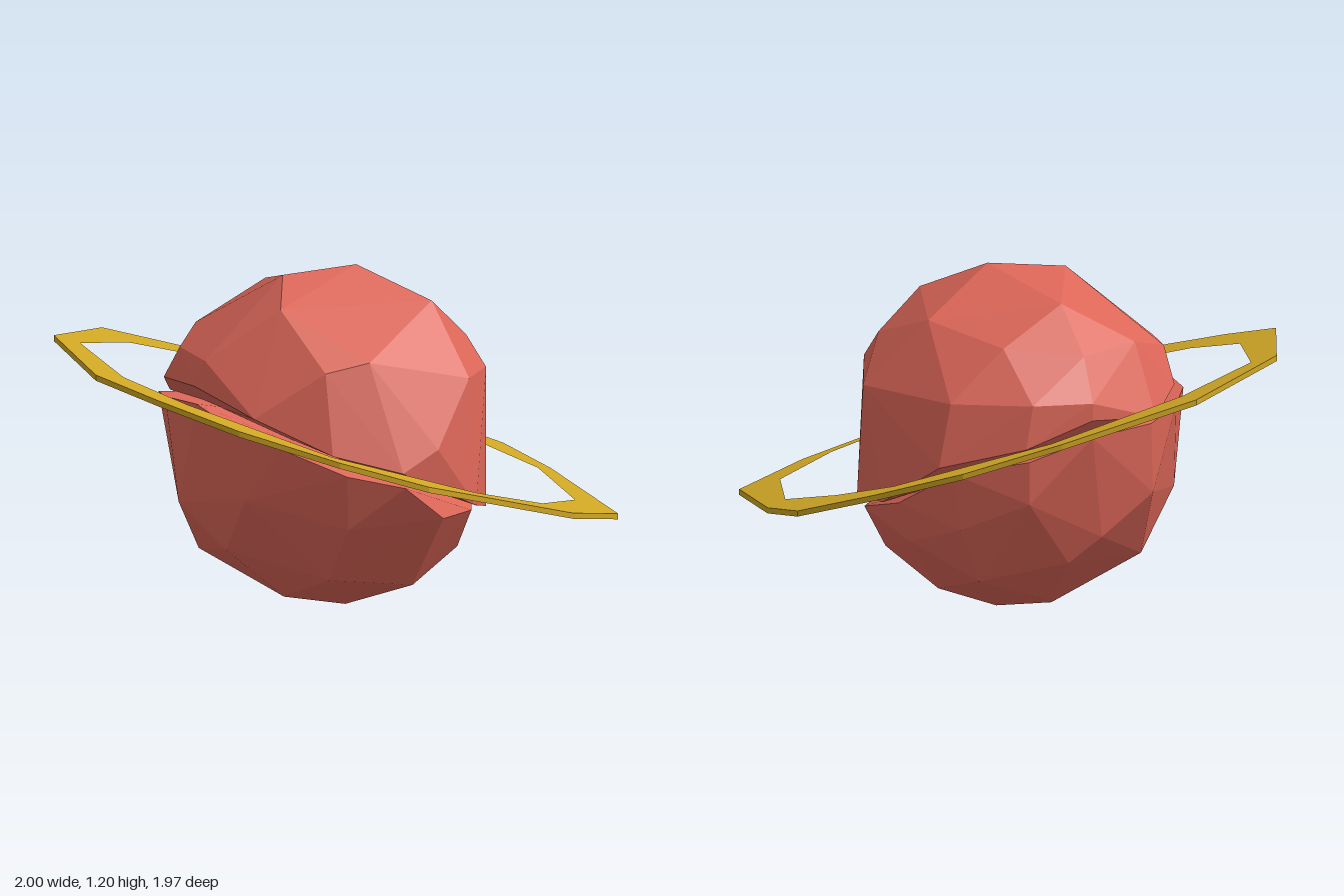
import * as THREE from 'three';
import { ConvexGeometry } from 'three/addons/geometries/ConvexGeometry.js';

const planetRed = new THREE.MeshStandardMaterial({ color: 0xdc6658, flatShading: true });
planetRed.name = 'planetRed';
const ringGold = new THREE.MeshStandardMaterial({ color: 0xcfa624, flatShading: true });
ringGold.name = 'ringGold';

// Faceted rock: convex shell around a few corner points
function rock(name, corners) {
  const mesh = new THREE.Mesh(new ConvexGeometry(corners.map((c) => new THREE.Vector3(...c))), planetRed);
  mesh.name = name;
  return mesh;
}

// Upper half, from crown down to its overhanging rim
const upperCorners = [
  [0.12, 1.2, -0.05], [0, 1.18, 0.2], [-0.29, 1.11, -0.04], [0, 1.05, -0.4],
  [0.39, 1.09, -0.14], [0.39, 0.95, -0.32], [0.13, 1.09, 0.36], [-0.41, 0.97, 0.19],
  [-0.46, 0.95, -0.07], [-0.3, 0.92, 0.4], [-0.07, 0.91, 0.53], [0.39, 0.9, 0.42],
  [0.47, 0.93, 0.28], [0.58, 0.84, -0.12], [0.5, 0.85, -0.3], [0.15, 0.82, -0.57],
  [-0.26, 0.8, -0.5], [-0.3, 0.98, -0.3], [-0.47, 0.8, -0.3], [-0.55, 0.8, -0.1],
  [0.63, 0.62, 0.1], [0.63, 0.4, -0.1], [0.6, 0.55, 0.25], [0.5, 0.36, -0.3],
  [0.25, 0.42, -0.52], [0, 0.43, -0.6], [-0.26, 0.58, -0.55], [-0.47, 0.65, -0.33],
  [-0.55, 0.74, -0.1], [-0.53, 0.72, 0.19], [-0.4, 0.8, 0.37], [-0.1, 0.82, 0.55],
  [0.2, 0.74, 0.58], [0.45, 0.62, 0.45],
];

// Lower half, from its slanting rim down to the base
const lowerCorners = [
  [0.16, 0.7, 0.62], [-0.05, 0.77, 0.6], [-0.28, 0.76, 0.5], [-0.45, 0.74, 0.34],
  [-0.53, 0.7, 0.17], [-0.55, 0.68, -0.1], [-0.45, 0.6, -0.3], [-0.25, 0.55, -0.48],
  [0, 0.42, -0.53], [0.3, 0.36, -0.45], [0.52, 0.36, -0.2], [0.61, 0.37, 0.05],
  [0.61, 0.5, 0.25], [0.5, 0.55, 0.43], [0.3, 0.64, 0.55],
  [-0.5, 0.45, 0.2], [-0.47, 0.31, 0], [-0.45, 0.45, -0.3], [-0.2, 0.4, 0.52],
  [0.16, 0.45, 0.58], [0.45, 0.35, 0.37], [0, 0.25, 0.5], [0.3, 0.15, 0.3],
  [-0.3, 0.2, 0.3], [-0.41, 0.22, -0.1], [0.05, 0.06, 0.25], [0.38, 0.1, -0.05],
  [-0.18, 0.04, 0], [0.07, 0, -0.05], [0.1, 0.08, -0.28], [-0.2, 0.15, -0.33],
  [0, 0.28, -0.48], [0.35, 0.2, -0.32], [-0.25, 0.35, -0.45],
];

// Ring outlines as [x, z]
const ringOuter = [
  [-1, 0.01], [-0.82, -0.44], [-0.62, -0.72], [-0.33, -0.88], [-0.02, -0.985], [0.29, -0.88], [0.9, -0.54],
  [1, -0.19], [0.91, 0.47], [0.72, 0.72], [0.43, 0.92], [0.1, 0.975], [-0.18, 0.98], [-0.75, 0.55],
];
const ringInner = [
  [-0.81, 0.09], [-0.72, -0.41], [-0.3, -0.78], [-0.01, -0.81], [0.32, -0.78], [0.77, -0.46],
  [0.91, -0.13], [0.89, 0.2], [0.64, 0.67], [0.1, 0.82], [-0.21, 0.8], [-0.68, 0.49],
];

// Thin irregular ring, slanted down to the right and back
function makeRing() {
  const flat = (list) => list.map(([x, z]) => new THREE.Vector2(x, -z));
  const shape = new THREE.Shape(flat(ringOuter));
  shape.holes.push(new THREE.Path(flat(ringInner)));
  const geometry = new THREE.ExtrudeGeometry(shape, { depth: 0.02, bevelEnabled: false });
  geometry.rotateX(-Math.PI / 2);
  const p = geometry.attributes.position;
  for (let i = 0; i < p.count; i++) {
    p.setY(i, p.getY(i) + 0.633 - 0.21 * p.getX(i) + 0.218 * p.getZ(i));
  }
  geometry.computeVertexNormals();
  const mesh = new THREE.Mesh(geometry, ringGold);
  mesh.name = 'ring';
  return mesh;
}

export function createModel() {
  const model = new THREE.Group();
  model.name = 'ringedPlanet';
  model.add(rock('upperPlanet', upperCorners), rock('lowerPlanet', lowerCorners), makeRing());
  return model;
}
